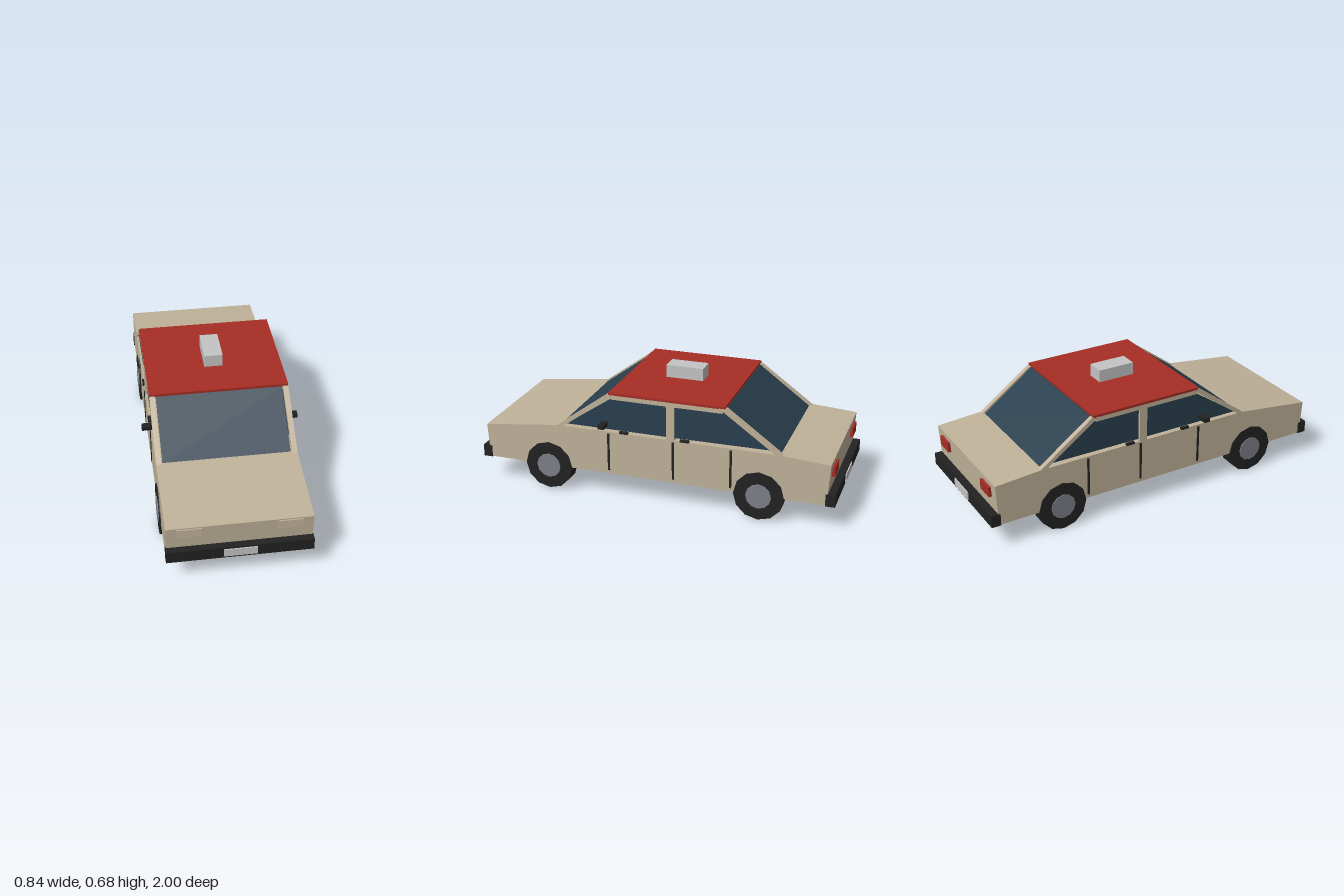
import * as THREE from 'three';

const mat = (name, color, extra = {}) => Object.assign(new THREE.MeshStandardMaterial({ color, ...extra }), { name });

export function createModel() {
  const car = new THREE.Group();
  car.name = 'sedan';
  const paint = mat('beige paint', 0xc0b299);
  const glass = mat('dark blue glass', 0x293f4e);
  const red = mat('red', 0xa62d24);
  const black = mat('black rubber', 0x222222);
  const silver = mat('light grey', 0xc4c4c4);
  const steel = mat('hub grey', 0x7d7f88);

  const add = (name, geometry, material) => {
    const mesh = new THREE.Mesh(geometry, material);
    mesh.name = name;
    car.add(mesh);
    return mesh;
  };

  // Box given by its limits on each axis
  const box = (name, material, [x0, x1], [y0, y1], [z0, z1]) => {
    const g = new THREE.BoxGeometry(x1 - x0, y1 - y0, z1 - z0);
    g.translate((x0 + x1) / 2, (y0 + y1) / 2, (z0 + z1) / 2);
    return add(name, g, material);
  };

  // Side profile of [z, y] points, extruded across x0..x1
  const slab = (name, material, points, x0, x1) => {
    const shape = new THREE.Shape(points.map(([z, y]) => new THREE.Vector2(z, y)));
    const g = new THREE.ExtrudeGeometry(shape, { depth: x1 - x0, bevelEnabled: false });
    g.rotateY(-Math.PI / 2);
    g.translate(x1, 0, 0);
    return add(name, g, material);
  };

  // Body with sloping bonnet and boot
  slab('body', paint, [[0.953, 0.14], [0.965, 0.332], [0.53, 0.385],
    [-0.7, 0.385], [-0.963, 0.367], [-0.95, 0.14]], -0.37, 0.37);

  // Roof and roof box
  box('roof', red, [-0.37, 0.37], [0.597, 0.611], [-0.405, 0.235]);
  box('roofBox', silver, [-0.05, 0.05], [0.611, 0.68], [-0.188, 0.02]);

  // Windscreens
  slab('windscreen', glass, [[0.525, 0.384], [0.235, 0.597], [0.228, 0.597], [0.518, 0.384]], -0.336, 0.336);
  slab('rearWindow', glass, [[-0.7, 0.384], [-0.41, 0.597], [-0.403, 0.597], [-0.693, 0.384]], -0.336, 0.336);

  for (const [side, s] of [['left', 1], ['right', -1]]) {
    const span = (a, b) => (s > 0 ? [a, b] : [-b, -a]);
    const post = span(0.342, 0.37);
    const pane = span(0.35, 0.358);

    // Pillars and roof rail
    slab(side + 'FrontPillar', paint, [[0.535, 0.385], [0.242, 0.6], [0.2, 0.6], [0.5, 0.385]], ...post);
    slab(side + 'RearPillar', paint, [[-0.71, 0.385], [-0.412, 0.6], [-0.37, 0.6], [-0.672, 0.385]], ...post);
    box(side + 'MiddlePillar', paint, post, [0.385, 0.597], [-0.13, -0.085]);
    box(side + 'RoofRail', paint, post, [0.573, 0.597], [-0.39, 0.222]);

    // Side windows
    slab(side + 'FrontWindow', glass, [[0.485, 0.396], [0.226, 0.573], [-0.09, 0.573], [-0.09, 0.396]], ...pane);
    slab(side + 'BackWindow', glass, [[-0.125, 0.396], [-0.125, 0.573], [-0.395, 0.573], [-0.66, 0.4]], ...pane);

    // Door seams, handles and mirror
    for (const z of [0.24, -0.125, -0.44]) {
      box(side + 'DoorSeam', black, span(0.368, 0.374), [0.16, 0.375], [z - 0.006, z + 0.006]);
    }
    for (const z of [0.152, -0.188]) {
      box(side + 'DoorHandle', black, span(0.36, 0.377), [0.384, 0.396], [z - 0.024, z + 0.024]);
    }
    box(side + 'Mirror', black, span(0.35, 0.419), [0.414, 0.438], [0.247, 0.281]);

    // Lamps
    box(side + 'Headlight', paint, span(0.19, 0.316), [0.274, 0.325], [0.94, 0.971]);
    box(side + 'TailLight', red, span(0.21, 0.313), [0.28, 0.335], [-0.975, -0.94]);

    // Wheels with raised hubs
    for (const [end, z] of [['Front', 0.595], ['Rear', -0.593]]) {
      for (const [part, r, a, b, m] of [['Tyre', 0.136, 0.292, 0.375, black], ['Hub', 0.069, 0.3, 0.38, steel]]) {
        const g = new THREE.CylinderGeometry(r, r, b - a, 12).toNonIndexed();
        g.computeVertexNormals();
        g.rotateZ(Math.PI / 2);
        g.translate(s * (a + b) / 2, 0.138, z);
        add(side + end + part, g, m);
      }
    }

    // Front seat base showing under the floor
    box(side + 'SeatBase', black, span(0.035, 0.275), [0.13, 0.15], [0.006, 0.052]);
  }
  box('rearSeatBase', black, [-0.29, 0.29], [0.13, 0.15], [-0.46, -0.415]);

  // Bumpers and blank plates
  for (const [end, s] of [['front', 1], ['rear', -1]]) {
    const depth = (a, b) => (s > 0 ? [a, b] : [-b, -a]);
    box(end + 'Bumper', black, [-0.373, 0.373], [0.137, 0.204], depth(0.943, 0.994));
    box(end + 'Plate', silver, [-0.085, 0.085], [0.149, 0.194], depth(0.992, 1));
  }
  return car;
}
